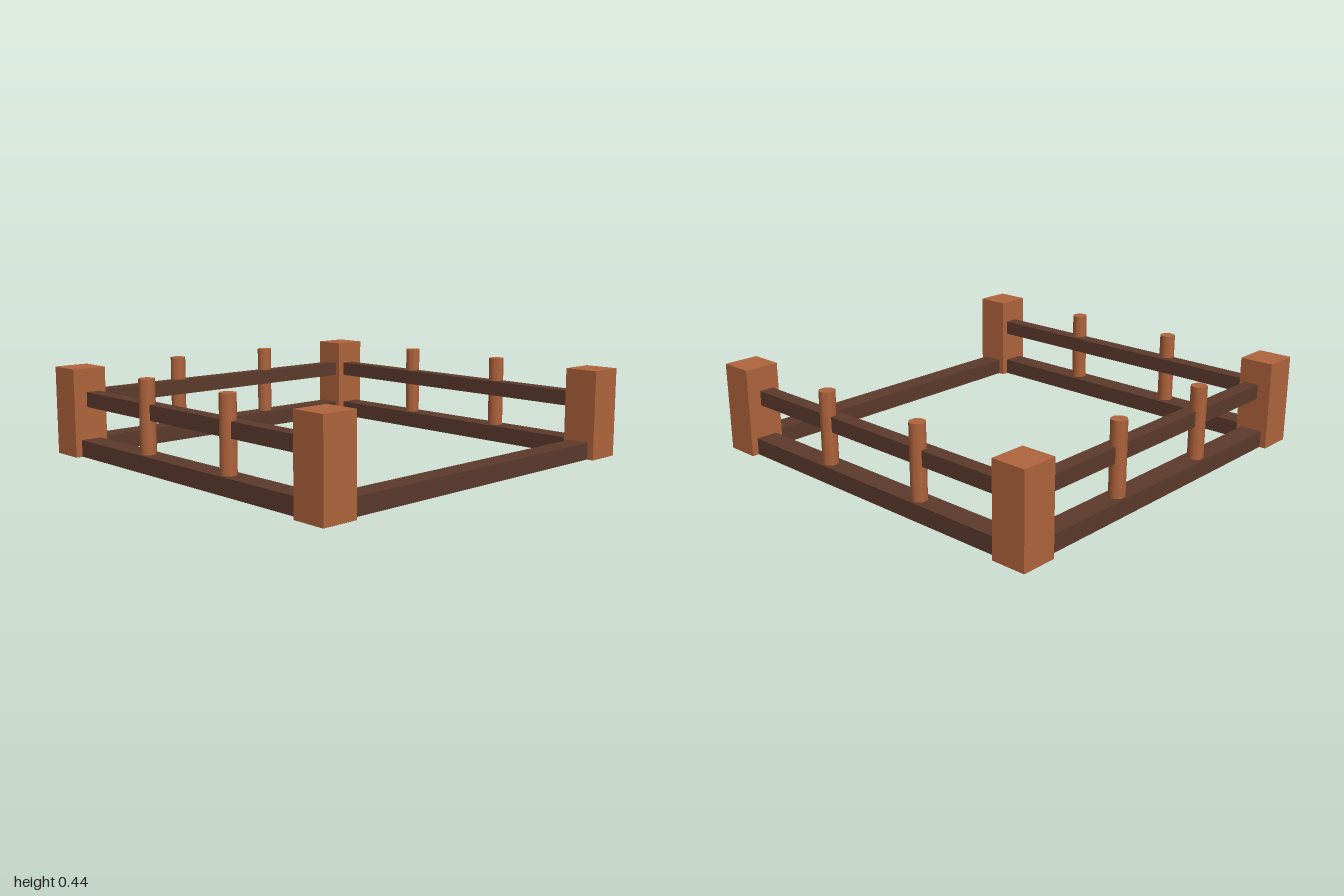
import * as THREE from 'three';

const HEIGHT = 0.445;
const postWood = new THREE.MeshStandardMaterial({ color: 0xb0643c });
const railWood = new THREE.MeshStandardMaterial({ color: 0x5c3a2c });

// Box given by its min and max corners
function box(name, material, [x0, y0, z0], [x1, y1, z1]) {
  const mesh = new THREE.Mesh(new THREE.BoxGeometry(x1 - x0, y1 - y0, z1 - z0), material);
  mesh.position.set((x0 + x1) / 2, (y0 + y1) / 2, (z0 + z1) / 2);
  mesh.name = name;
  return mesh;
}

// One side of the fence, running along x and facing +z
function fenceSide(name, halfLength, inner, railed) {
  const side = new THREE.Group();
  side.name = name;
  side.add(box('lowerRail', railWood, [-halfLength, 0.001, inner], [halfLength, 0.085, inner + 0.111]));
  if (!railed) return side;

  side.add(box('upperRail', railWood, [-halfLength, 0.25, inner], [halfLength, 0.325, inner + 0.074]));
  // Balusters pass through both rails and stand proud of the upper one
  for (const x of [-0.305, 0.305]) {
    const geometry = new THREE.CylinderGeometry(0.04, 0.04, HEIGHT, 8);
    geometry.rotateY(Math.PI / 8);
    const baluster = new THREE.Mesh(geometry, postWood);
    baluster.position.set(x, HEIGHT / 2, inner + 0.061);
    baluster.name = 'baluster';
    side.add(baluster);
  }
  return side;
}

export function createModel() {
  const model = new THREE.Group();
  model.name = 'fence';

  // Corner posts
  for (const sx of [-1, 1]) {
    for (const sz of [-1, 1]) {
      const post = box('cornerPost', postWood, [-0.0865, 0, -0.09], [0.0865, HEIGHT, 0.09]);
      post.position.x = sx * 0.9085;
      post.position.z = sz * 0.91;
      model.add(post);
    }
  }

  // Three railed sides, and an open side at +x with only the lower rail
  const front = fenceSide('frontSide', 0.822, 0.855, true);
  const back = fenceSide('backSide', 0.822, 0.855, true);
  back.rotation.y = Math.PI;
  const railedSide = fenceSide('railedSide', 0.82, 0.852, true);
  railedSide.rotation.y = -Math.PI / 2;
  const openSide = fenceSide('openSide', 0.82, 0.852, false);
  openSide.rotation.y = Math.PI / 2;
  model.add(front, back, railedSide, openSide);

  return model;
}
